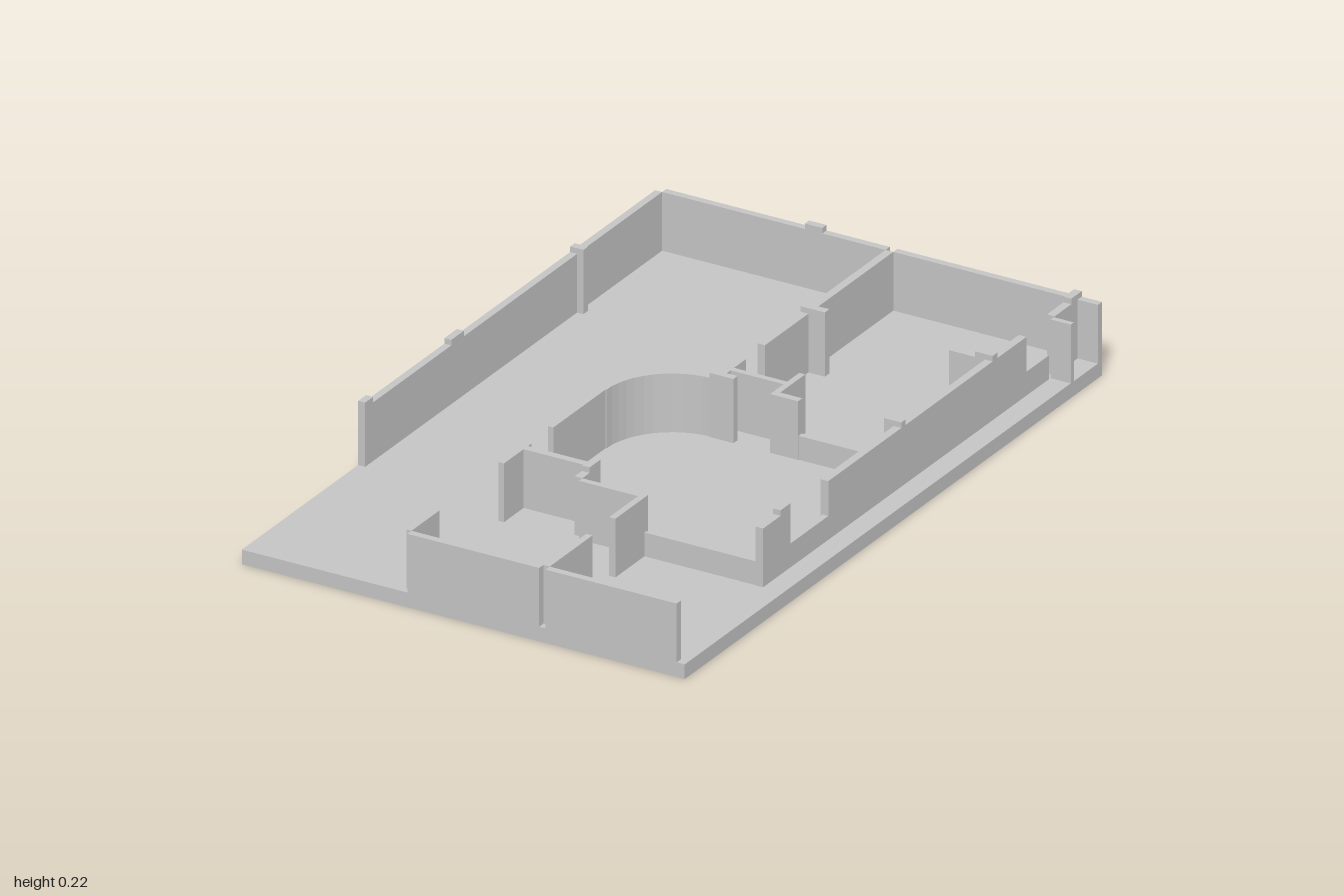
import * as THREE from 'three';

const FLOOR = 0.04, TOP = 0.2, POST = 0.215, SILL = 0.105;

export function createModel() {
  const model = new THREE.Group();
  model.name = 'floorPlan';
  const grey = new THREE.MeshStandardMaterial({ color: 0xc4c4c4 });
  grey.name = 'plaster grey';

  // Box given by its plan rectangle and its height range
  function block(name, x0, x1, z0, z1, top = TOP, bottom = FLOOR) {
    const mesh = new THREE.Mesh(new THREE.BoxGeometry(x1 - x0, top - bottom, z1 - z0), grey);
    mesh.position.set((x0 + x1) / 2, (top + bottom) / 2, (z0 + z1) / 2);
    mesh.name = name;
    model.add(mesh);
  }

  block('baseSlab', -0.633, 0.633, -1, 1, FLOOR, 0);

  // Outer walls, with narrow notches where inner walls meet them
  block('leftWall', -0.633, -0.613, -0.98, 0.443);
  block('backWallLeft', -0.613, 0.026, -1, -0.98);
  block('backWallRight', 0.048, 0.633, -1, -0.98);
  block('frontWallLeft', -0.16, 0.217, 0.98, 1);
  block('frontWallRight', 0.235, 0.61, 0.98, 1);

  // Right wall, broken by two windows and a gap at the back
  for (const [z0, z1] of [[-0.98, -0.87], [-0.735, 0.215], [0.395, 0.527]])
    block('rightWall', 0.553, 0.575, z0, z1);
  block('rightBackReturn', 0.575, 0.633, -0.865, -0.85);

  // Low window sills
  block('rightBackSill', 0.558, 0.575, -0.842, -0.735, SILL);
  block('rightFrontSill', 0.558, 0.575, 0.215, 0.395, SILL);
  block('roomFrontSill', 0.235, 0.553, 0.517, 0.526, SILL);
  block('roomBackSill', 0.28, 0.525, -0.153, -0.137, SILL);
  block('roomLeftSill', -0.175, -0.16, 0.3, 0.405, SILL);

  // Back rooms
  block('backDividerWall', 0.026, 0.048, -0.98, -0.365);
  block('backRightStub', 0.45, 0.525, -0.595, -0.573);

  // Closet between the middle and back rooms
  block('closetLeftWall', 0.026, 0.048, -0.275, -0.135);
  block('closetRightWall', 0.2, 0.217, -0.275, -0.135);
  block('closetBackWall', 0.048, 0.2, -0.217, -0.2);
  block('roomBackStub', 0.217, 0.28, -0.155, -0.135);

  // Middle room
  block('roomLeftWall', -0.175, -0.16, 0.05, 0.3);
  block('roomLeftEnd', -0.175, -0.16, 0.405, 0.537);
  block('roomFrontWall', -0.16, 0.026, 0.422, 0.443);
  block('roomFrontStep', 0.026, 0.048, 0.422, 0.51);
  block('roomFrontWall', 0.048, 0.217, 0.51, 0.527);

  // Front rooms
  block('frontDividerInner', 0.217, 0.235, 0.51, 0.665);
  block('frontDividerOuter', 0.217, 0.235, 0.775, 0.98);
  block('frontLeftStub', -0.175, -0.16, 0.845, 0.98);

  // Posts that rise above the walls
  const posts = [
    [-0.633, -0.595, -0.595, -0.573], [-0.633, -0.613, -0.03, 0.03],
    [-0.633, -0.613, 0.405, 0.443], [-0.205, -0.155, -1, -0.98],
    [0.026, 0.095, -0.595, -0.573], [0.525, 0.575, -0.595, -0.573],
    [0.553, 0.575, -1, -0.95], [0.026, 0.095, -0.155, -0.135],
    [0.525, 0.575, -0.155, -0.135], [0.553, 0.575, 0.395, 0.443],
    [0.026, 0.048, 0.422, 0.475],
  ];
  for (const p of posts) block('post', ...p, POST);

  // Faceted quarter-round wall at the room's back left corner
  const arc = new THREE.Shape();
  const STEPS = 12, R = 0.205, r = 0.188;
  for (let i = 0; i <= STEPS; i++) {
    const a = Math.PI / 2 + (i / STEPS) * Math.PI / 2;
    arc[i ? 'lineTo' : 'moveTo'](R * Math.cos(a), R * Math.sin(a));
  }
  for (let i = STEPS; i >= 0; i--) {
    const a = Math.PI / 2 + (i / STEPS) * Math.PI / 2;
    arc.lineTo(r * Math.cos(a), r * Math.sin(a));
  }
  const curve = new THREE.ExtrudeGeometry(arc, { depth: TOP - FLOOR, bevelEnabled: false });
  curve.rotateX(-Math.PI / 2);
  const curvedWall = new THREE.Mesh(curve, grey);
  curvedWall.position.set(0.03, FLOOR, 0.05);
  curvedWall.name = 'curvedWall';
  model.add(curvedWall);

  return model;
}
